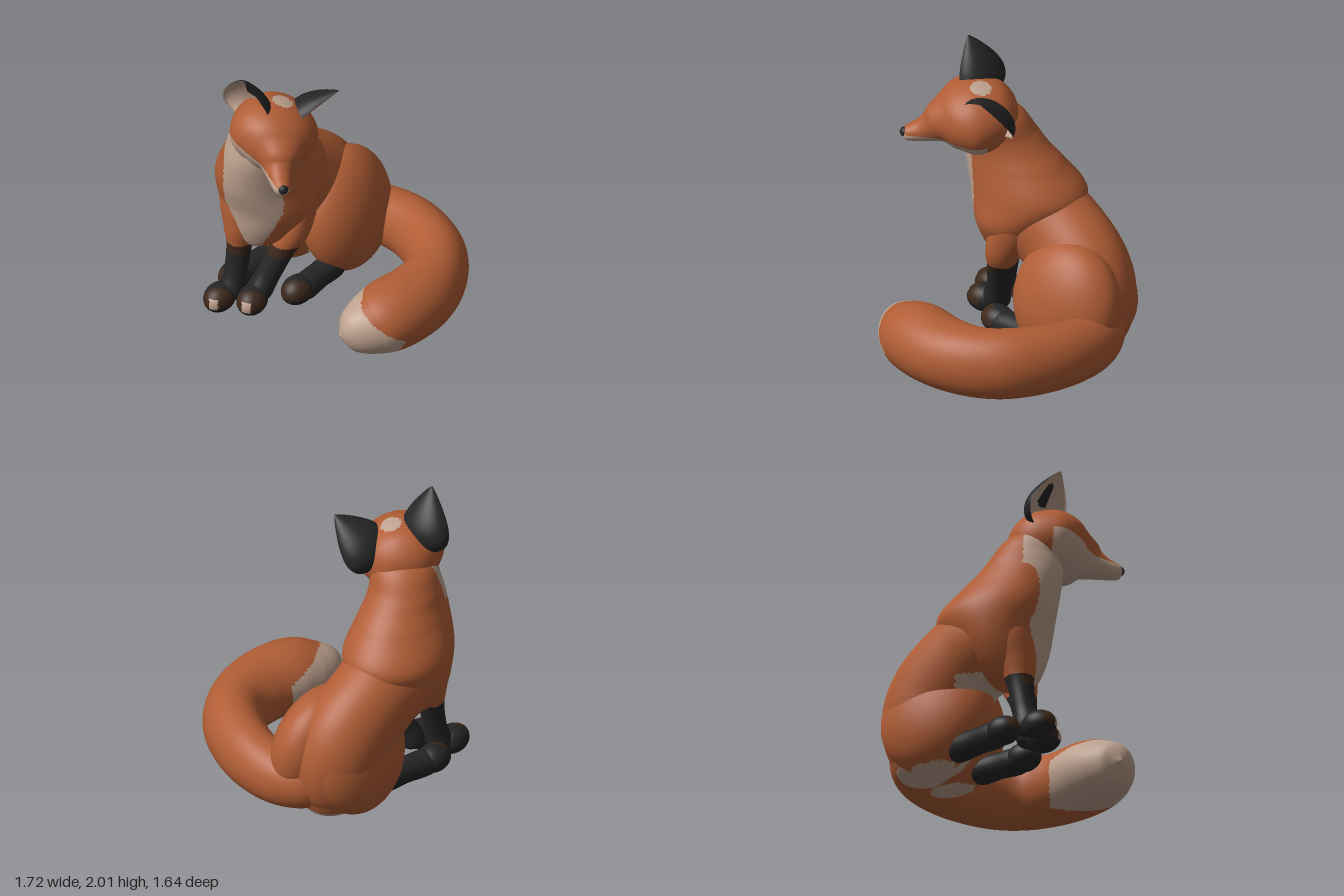
import * as THREE from 'three';

const mat = (name, color) => Object.assign(new THREE.MeshStandardMaterial({ color }), { name });
const V = (x, y, z) => new THREE.Vector3(x, y, z);
const FUR = 0, PALE = 1, BLACK = 2, BROWN = 3;

export function createModel() {
  const mats = [mat('orangeFur', 0xb05d35), mat('paleFur', 0xbfa28f),
    mat('blackFur', 0x252525), mat('brownFur', 0x3c281c)];
  const fox = new THREE.Group();
  fox.name = 'fox';

  // Sorts faces into one material group per colour; rule(centroid, faceIndex) gives the colour
  function paint(geo, rule) {
    const p = geo.attributes.position, idx = geo.index.array, bins = mats.map(() => []);
    const a = V(), c = V();
    for (let i = 0; i < idx.length; i += 3) {
      c.set(0, 0, 0);
      for (let k = 0; k < 3; k++) c.add(a.fromBufferAttribute(p, idx[i + k]));
      bins[rule(c.divideScalar(3), i / 3)].push(idx[i], idx[i + 1], idx[i + 2]);
    }
    geo.setIndex(bins.flat());
    geo.clearGroups();
    let start = 0;
    bins.forEach((b, m) => {
      if (b.length) geo.addGroup(start, b.length, m);
      start += b.length;
    });
    return geo;
  }

  function add(parent, name, geo, rule) {
    const mesh = new THREE.Mesh(paint(geo, rule), mats);
    mesh.name = name;
    parent.add(mesh);
    return mesh;
  }

  // Joins closed rings of points into a smooth skin
  function skin(rings) {
    const n = rings[0].length, pos = [], idx = [];
    rings.forEach(r => r.forEach(q => pos.push(q.x, q.y, q.z)));
    for (let i = 0; i < rings.length - 1; i++) for (let j = 0; j < n; j++) {
      const a = i * n + j, b = i * n + (j + 1) % n;
      idx.push(a, b, b + n, a, b + n, a + n);
    }
    const geo = new THREE.BufferGeometry();
    geo.setAttribute('position', new THREE.Float32BufferAttribute(pos, 3));
    geo.setIndex(idx);
    geo.computeVertexNormals();
    return geo;
  }

  // Elliptical sections [x, y, z, radiusU, radiusV] along a smooth path; frame(tangent) gives [u, v]
  function loft(secs, frame, rows = 100, n = 72) {
    const curve = pts => new THREE.CatmullRomCurve3(pts, false, 'catmullrom', 0.5);
    const path = curve(secs.map(s => V(s[0], s[1], s[2]))), size = curve(secs.map(s => V(s[3], s[4], 0)));
    const rings = [];
    for (let i = 0; i <= rows; i++) {
      const p = path.getPoint(i / rows), r = size.getPoint(i / rows);
      const [u, v] = frame(path.getTangent(i / rows));
      rings.push(Array.from({ length: n }, (_, j) => {
        const a = j / n * Math.PI * 2;
        return p.clone().addScaledVector(u, Math.max(r.x, 0) * Math.cos(a))
          .addScaledVector(v, Math.max(r.y, 0) * Math.sin(a));
      }));
    }
    return skin(rings);
  }
  const turn = -0.455;
  const along = V(Math.sin(turn), 0, Math.cos(turn)), across = V(Math.cos(turn), 0, -Math.sin(turn));
  const sweep = up => t => {
    const u = up.clone().cross(t).normalize();
    return [u, t.clone().cross(u)];
  };
  const forward = sweep(V(0, 1, 0)), downward = sweep(V(0, 0, 1));
  const level = () => [along, across];
  const spine = t => [across.clone().negate(), across.clone().cross(t)];

  // Turned and leaning ellipsoid resting on the ground
  function blob(x, y, z, rx, ry, rz, yaw, lean = 0) {
    const geo = new THREE.SphereGeometry(1, 48, 36).scale(rx, ry, rz).rotateZ(lean).rotateY(yaw).translate(x, y, z);
    const p = geo.attributes.position;
    for (let i = 0; i < p.count; i++) p.setY(i, Math.max(p.getY(i), 0.005));
    return geo;
  }

  // Chest and neck: level slices, turned to the line of the body
  add(fox, 'chestAndNeck', loft([
    [-0.53, 0.46, 0.1, 0, 0], [-0.53, 0.5, 0.09, 0.13, 0.14], [-0.5, 0.62, 0.04, 0.24, 0.25],
    [-0.47, 0.8, 0.01, 0.31, 0.34], [-0.465, 1.0, -0.03, 0.41, 0.34], [-0.475, 1.2, 0.065, 0.35, 0.275],
    [-0.48, 1.3, 0.12, 0.3, 0.245], [-0.475, 1.4, 0.16, 0.25, 0.23], [-0.44, 1.55, 0.22, 0.19, 0.2],
    [-0.43, 1.66, 0.24, 0, 0],
  ], level, 130, 100), c => {
    const bib = Math.min(0.2, 0.02 + 0.18 * (c.y - 0.46) / 0.4);
    return c.z > 0.16 && Math.abs(c.x + 0.54) < bib ? PALE : FUR;
  });

  // Back, belly and rump along the spine
  add(fox, 'torso', loft([
    [-0.55, 0.86, 0.13, 0, 0], [-0.53, 0.86, 0.08, 0.2, 0.2], [-0.46, 0.84, -0.06, 0.3, 0.31],
    [-0.35, 0.74, -0.25, 0.29, 0.33], [-0.22, 0.56, -0.42, 0.3, 0.35], [-0.16, 0.36, -0.475, 0.3, 0.34],
    [-0.14, 0.14, -0.47, 0.25, 0.27], [-0.14, 0.05, -0.46, 0.17, 0.19], [-0.14, 0.01, -0.45, 0, 0],
  ], spine), c => c.y < 0.07 || (c.y < 0.56 && c.z > -0.3 && c.x < -0.1) ? PALE : FUR);

  // Haunches leaning in towards the spine
  for (const [name, x, z, lean] of [['leftHaunch', 0.0, -0.37, 0.2], ['rightHaunch', -0.27, -0.43, -0.2]])
    add(fox, name, blob(x, 0.41, z, 0.245, 0.43, 0.4, turn, lean), c => c.y < 0.02 ? PALE : FUR);

  // Forelegs with dark stockings
  const forelegs = {
    rightForeleg: [[-0.58, 1.02, 0, 0, 0], [-0.6, 0.94, 0.03, 0.12, 0.11], [-0.635, 0.8, 0.07, 0.15, 0.15],
      [-0.645, 0.6, 0.12, 0.112, 0.125], [-0.65, 0.45, 0.14, 0.085, 0.09], [-0.67, 0.25, 0.17, 0.077, 0.08],
      [-0.7, 0.1, 0.2, 0.08, 0.09], [-0.71, 0.03, 0.2, 0, 0]],
    leftForeleg: [[-0.27, 1.05, -0.03, 0, 0], [-0.265, 0.95, 0, 0.11, 0.12], [-0.27, 0.8, 0.04, 0.135, 0.15],
      [-0.29, 0.6, 0.11, 0.11, 0.12], [-0.36, 0.45, 0.14, 0.086, 0.09], [-0.45, 0.25, 0.17, 0.08, 0.08],
      [-0.52, 0.1, 0.2, 0.08, 0.09], [-0.53, 0.03, 0.2, 0, 0]],
  };
  for (const [name, secs] of Object.entries(forelegs))
    add(fox, name, loft(secs, downward), c => c.y > 0.49 ? FUR : c.y > 0.42 && c.z > 0.15 ? BROWN : BLACK);

  // Hind feet
  const hind = { leftHindFoot: [-0.05, -0.17, -0.24, 0.12], rightHindFoot: [-0.4, -0.3, -0.66, 0.0] };
  for (const [name, [x, z, x2, z2]] of Object.entries(hind))
    add(fox, name, loft([[x + 0.03, 0.1, z - 0.04, 0, 0], [x, 0.1, z, 0.085, 0.085],
      [(x + x2) / 2, 0.1, (z + z2) / 2, 0.085, 0.09], [x2, 0.09, z2, 0.085, 0.085],
      [x2 - 0.02, 0.09, z2 + 0.04, 0, 0]], forward, 40, 32), () => BLACK);

  // Paws: brown toe tops, pale claws on the forepaws
  const paws = [['rightForepaw', -0.765, 0.27, -0.5, true], ['leftForepaw', -0.55, 0.28, -0.3, true],
    ['leftHindPaw', -0.265, 0.14, -0.6, false], ['rightHindPaw', -0.69, 0.03, -0.6, false]];
  for (const [name, x, z, yaw, claws] of paws)
    add(fox, name, blob(x, 0.1, z, 0.1, 0.097, 0.125, yaw), c => {
      if (claws && c.z > z + 0.08 && Math.abs(c.x - x + 0.03) < 0.03 && Math.abs(c.y - 0.11) < 0.04) return PALE;
      return c.z > z + 0.03 && c.y > 0.08 ? BROWN : BLACK;
    });

  // Tail curled round to the front, with a pale tip
  add(fox, 'tail', loft([
    [-0.12, 0.24, -0.56, 0, 0], [-0.03, 0.24, -0.58, 0.16, 0.17], [0.2, 0.23, -0.565, 0.18, 0.2],
    [0.44, 0.245, -0.4, 0.19, 0.225], [0.61, 0.255, -0.14, 0.2, 0.24], [0.645, 0.255, 0.1, 0.205, 0.24],
    [0.555, 0.255, 0.34, 0.24, 0.24], [0.39, 0.255, 0.54, 0.25, 0.24], [0.25, 0.24, 0.65, 0.21, 0.2],
    [0.13, 0.23, 0.73, 0.12, 0.13], [0.07, 0.22, 0.76, 0, 0],
  ], forward, 130, 80), c => {
    const edge = c.y > 0.2 ? 0.21 + 1.4 * Math.max(0, 0.42 - c.y) : 0.52 - 0.6 * (0.2 - c.y);
    return c.z > 0.27 && c.x < edge ? PALE : FUR;
  });

  // Head, looking aside and tilted
  const head = new THREE.Group();
  head.name = 'head';
  head.position.set(-0.41, 1.53, 0.3);
  head.rotation.set(0, 0.31, -0.28, 'YXZ');
  fox.add(head);
  add(head, 'skullAndMuzzle', loft([
    [0, 0, -0.27, 0, 0], [0, 0, -0.24, 0.13, 0.11], [0, 0, -0.15, 0.235, 0.205], [0, 0, 0, 0.295, 0.24],
    [0, -0.01, 0.1, 0.28, 0.228], [0, -0.035, 0.19, 0.215, 0.185], [0, -0.055, 0.25, 0.15, 0.15],
    [0, -0.088, 0.31, 0.102, 0.11], [0, -0.115, 0.38, 0.078, 0.075], [0, -0.13, 0.45, 0.06, 0.055],
    [0, -0.132, 0.485, 0.042, 0.04], [0, -0.132, 0.5, 0, 0],
  ], forward, 120, 96), c => {
    if (c.y > 0.15 && Math.hypot(c.x, c.z + 0.01) < 0.07) return PALE;
    return c.z > -0.03 && c.y < -0.128 + 0.28 * Math.abs(c.x) ? PALE : FUR;
  });
  add(head, 'nose', new THREE.SphereGeometry(0.034, 24, 16).translate(0, -0.122, 0.48), () => BLACK);

  for (const s of [1, -1]) {
    const side = s > 0 ? 'left' : 'right';
    // Eye
    const eye = add(head, side + 'Eye', new THREE.SphereGeometry(0.028, 20, 14).scale(1, 0.8, 0.45), () => BLACK);
    eye.position.set(s * 0.11, 0.003, 0.275);
    eye.rotation.set(-0.4, s * 0.75, 0, 'YXZ');

    // Ear: a cupped leaf, dark behind, pale in front with a dark hollow
    const base = V(s * 0.16, 0, -0.07), axis = V(s * 0.335, 0.4, 0.04).sub(base);
    const y = axis.clone().normalize();
    const x = y.clone().cross(V(s * 0.75, 0, 0.66)).normalize(), z = x.clone().cross(y);
    const rows = 40, n = 48, rings = [];
    for (let i = 0; i <= rows; i++) {
      const h = i / rows, leaf = Math.pow(Math.max(0, Math.sin(Math.PI * Math.pow(h, 0.6))), 0.85);
      rings.push(Array.from({ length: n }, (_, j) => {
        const a = j / n * Math.PI * 2, sn = Math.sin(a);
        return base.clone().addScaledVector(axis, h).addScaledVector(x, 0.195 * leaf * Math.cos(a))
          .addScaledVector(z, leaf * sn * (sn > 0 ? -0.14 : 0.09));
      }));
    }
    add(head, side + 'Ear', skin(rings), (c, f) => {
      const h = Math.floor(f / 2 / n) / rows, a = ((f >> 1) % n + 0.5) / n * Math.PI * 2;
      if (Math.sin(a) > 0) return BLACK;
      return Math.hypot((h - 0.6) / 0.2, Math.cos(a) / 0.3) < 1 ? BLACK : PALE;
    });
  }
  return fox;
}
